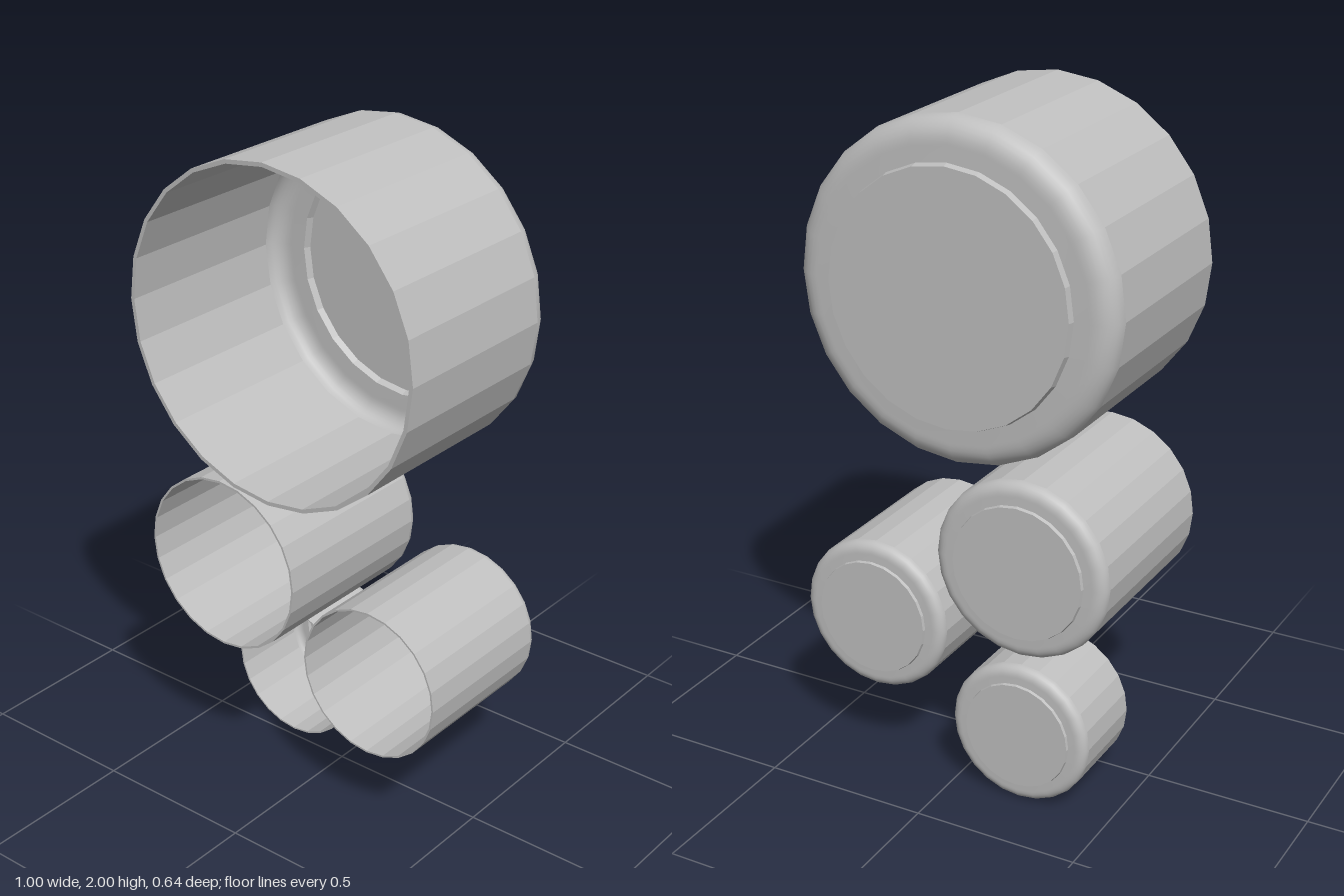
import * as THREE from 'three';
import { mergeGeometries } from 'three/addons/utils/BufferGeometryUtils.js';

const SIDES = 24;
const WALL = 0.012;   // shell thickness of the largest cup
const SEAT = -0.297;  // z of the ring plane shared by all cups
const BIG = 0.495;    // radius the profile is drawn for

// Revolve [radius, z] points around the z axis; flat gives faceted sides
function revolve(points, flat) {
  const lathe = new THREE.LatheGeometry(points.map(([r, z]) => new THREE.Vector2(r, z)), SIDES);
  lathe.rotateX(Math.PI / 2);
  const g = lathe.toNonIndexed();
  if (flat) g.computeVertexNormals();
  return g;
}

// Rounded edge from the base step out to the side wall
function edgeProfile(radius, k, inset) {
  const pts = [[0.375 * k, SEAT - 0.006 * k + inset], [0.42 * k, SEAT - 0.004 * k + inset]];
  const rr = 0.068 * k - inset, rz = 0.06 * k - inset;
  const cx = radius - inset - rr, cz = SEAT - 0.004 * k + inset + rz;
  for (let i = 0; i <= 7; i++) {
    const a = (i / 7) * Math.PI / 2;
    pts.push([cx + rr * Math.sin(a), cz - rz * Math.cos(a)]);
  }
  return pts;
}

function makeCup(name, x, y, radius, front, material) {
  const k = radius / BIG, t = WALL * k;
  const cup = new THREE.Group();
  cup.name = name;
  cup.position.set(x, y, 0);
  const add = (part, geometries) => {
    const mesh = new THREE.Mesh(mergeGeometries(geometries), material);
    mesh.name = part;
    cup.add(mesh);
  };

  const outer = edgeProfile(radius, k, 0);
  const inner = edgeProfile(radius, k, t);
  const back = SEAT - 0.025 * k, disc = 0.37 * k;

  // Raised disc closing the back, with its small step
  add('base', [
    revolve([[0, back], [disc, back]], true),
    revolve([[disc, back], outer[0]], true),
    revolve([[disc - t * 0.3, back + t], [0, back + t]], true),
    revolve([inner[0], [disc - t * 0.3, back + t]], true),
  ]);

  // Smooth rounded edge, outside and inside
  add('roundedEdge', [revolve(outer, false), revolve([...inner].reverse(), false)]);

  // Faceted side wall and open rim
  const o = outer[outer.length - 1], n = inner[inner.length - 1];
  add('wall', [
    revolve([o, [radius, front]], true),
    revolve([[radius, front], [radius - t, front]], true),
    revolve([[radius - t, front], n], true),
  ]);
  return cup;
}

export function createModel() {
  const grey = new THREE.MeshStandardMaterial({ color: 0xbfbfbf });
  grey.name = 'grey';
  const model = new THREE.Group();
  model.name = 'cupCluster';
  model.add(
    makeCup('largeCup', -0.005, 1.506, 0.494, 0.322, grey),
    makeCup('mediumCup', -0.215, 0.738, 0.27, 0.29, grey),
    makeCup('sideCup', 0.264, 0.48, 0.234, 0.214, grey),
    makeCup('shortCup', -0.215, 0.218, 0.218, -0.025, grey),
  );
  return model;
}
